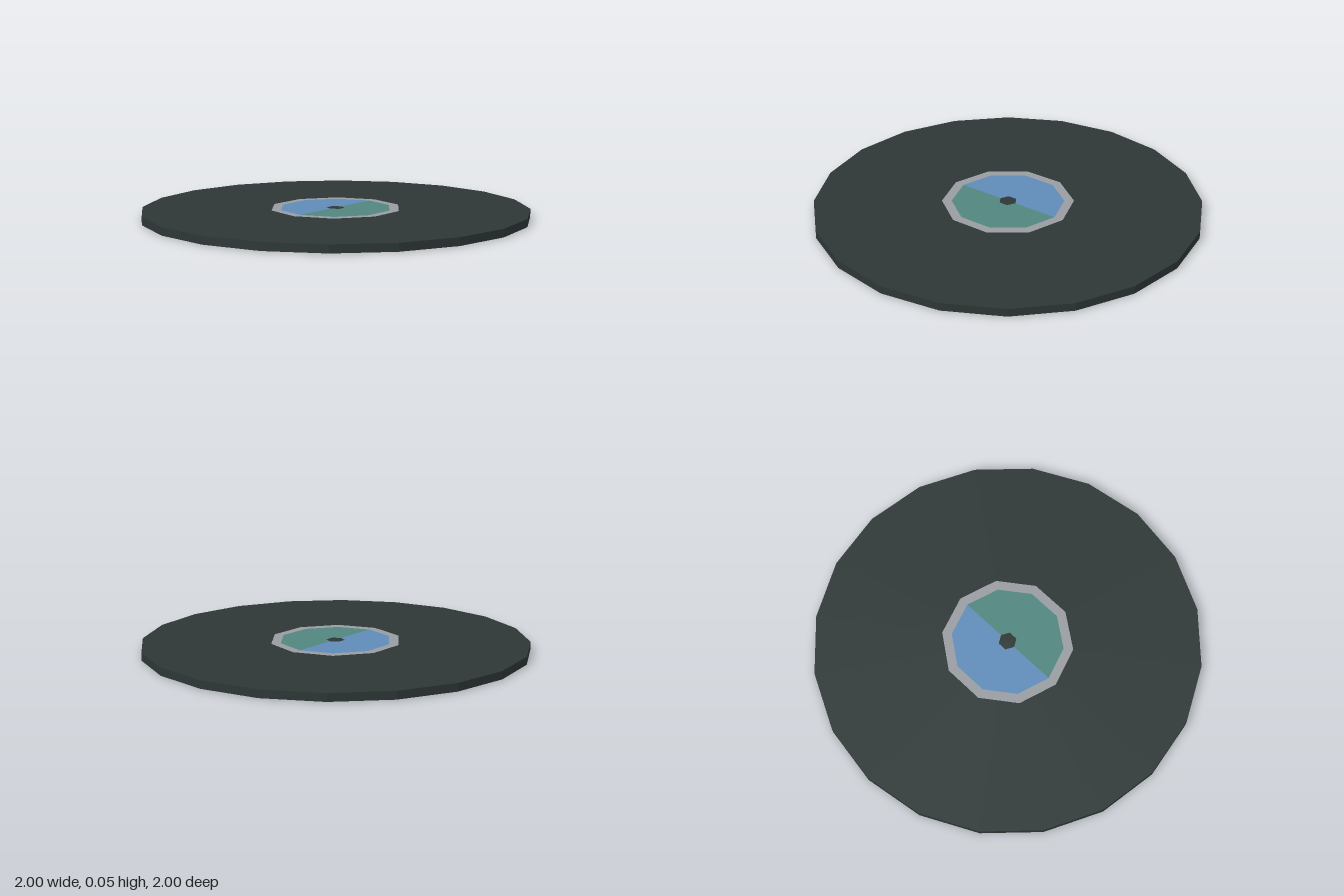
import * as THREE from 'three';

const material = (name, color, flatShading = false) => {
  const m = new THREE.MeshStandardMaterial({ color, flatShading });
  m.name = name;
  return m;
};

// Points of a regular polygon from one angle to another, first corner on +x
function arc(sides, radius, from, to) {
  const step = (Math.PI * 2) / sides;
  const count = Math.round(Math.abs(to - from) / step);
  return Array.from({ length: count + 1 }, (_, i) => {
    const a = from + ((to - from) * i) / count;
    return new THREE.Vector2(radius * Math.cos(a), radius * Math.sin(a));
  });
}

export function createModel() {
  const group = new THREE.Group();
  const vinyl = material('charcoal', 0x2d3636, true);
  const grey = material('grey', 0x989ca1);
  const blue = material('blue', 0x5f8bb8);
  const teal = material('teal', 0x51857f);
  const olive = material('olive', 0xae942c);
  const green = material('green', 0x418734);

  const height = 0.045;
  const skin = 0.002; // labels sit just proud of the disc
  const PI = Math.PI;

  const add = (name, geometry, mat) => {
    const mesh = new THREE.Mesh(geometry, mat);
    mesh.name = name;
    group.add(mesh);
    return mesh;
  };

  // Twenty-sided disc
  const disc = add('disc', new THREE.CylinderGeometry(1, 1, height - 2 * skin, 20), vinyl);
  disc.position.y = height / 2;

  // Ten-sided border around the label
  const borderShape = new THREE.Shape(arc(10, 0.34, 0, PI * 2).slice(0, -1));
  borderShape.holes.push(new THREE.Path(arc(10, 0.29, PI * 2, 0).slice(0, -1)));

  // Half label with a notch for the six-sided hub
  const halfShape = new THREE.Shape([...arc(10, 0.29, 0, PI), ...arc(6, 0.047, PI, 0)]);

  // Both faces carry a border and a two-coloured label
  const faces = [
    { side: 'top', turn: -PI / 2, y: height, colors: [blue, teal] },
    { side: 'bottom', turn: PI / 2, y: 0, colors: [olive, green] },
  ];
  for (const { side, turn, y, colors } of faces) {
    const place = (geometry) => geometry.rotateX(turn).translate(0, y, 0);
    add(`${side}LabelBorder`, place(new THREE.ShapeGeometry(borderShape)), grey);
    colors.forEach((color, i) => {
      add(`${side}LabelHalf${i + 1}`, place(new THREE.ShapeGeometry(halfShape).rotateZ(i * PI)), color);
    });
  }
  return group;
}
